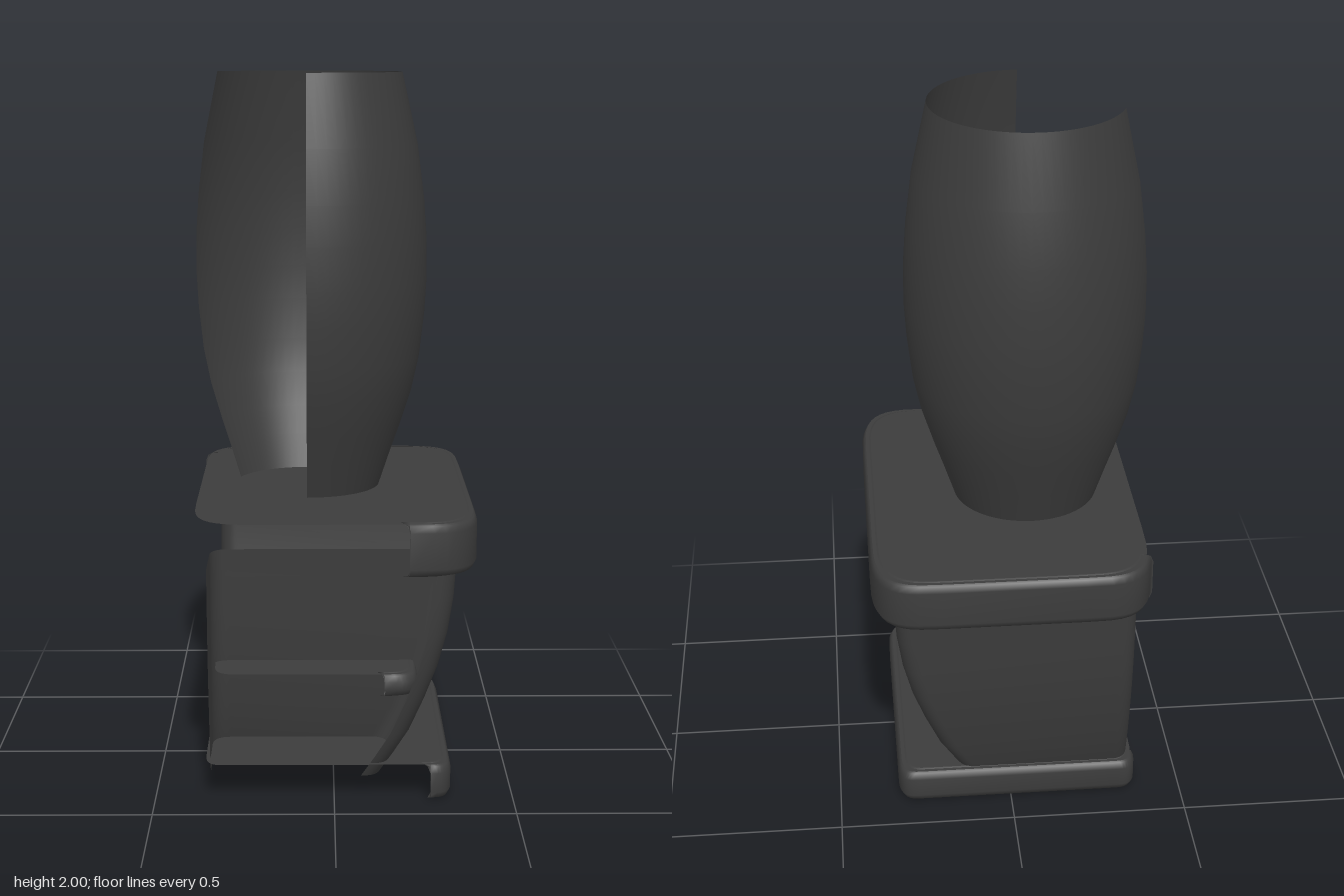
import * as THREE from 'three';

const material = new THREE.MeshStandardMaterial({ color: 0x3c3c3c, side: THREE.DoubleSide });

function add(group, name, geometry) {
  const mesh = new THREE.Mesh(geometry, material);
  mesh.name = name;
  group.add(mesh);
  return mesh;
}

// One soft corner of a plan outline, boxier than a true ellipse.
// Corners run front right, back right, back left, front left.
function corner(index, { x0, x1, z0, z1, rx, rz, n = 3.5 }, steps = 10) {
  const right = index < 2, front = index === 0 || index === 3;
  const points = [];
  for (let i = 0; i <= steps; i++) {
    const t = (index % 2 === 0 ? steps - i : i) / steps * Math.PI / 2;
    const u = Math.pow(Math.max(0, Math.cos(t)), 2 / n) * rx;
    const v = Math.pow(Math.max(0, Math.sin(t)), 2 / n) * rz;
    points.push([
      right ? x1 - rx + u : x0 + rx - u,
      front ? z1 - rz + v : z0 + rz - v,
    ]);
  }
  return points;
}

// Open outline: from the front face round the right and back to the left side.
function openOutline(box, startX, endZ) {
  const last = corner(2, box).map(([x, z]) => [x, Math.min(z, endZ)]);
  return [[startX, box.z1], ...corner(0, box), ...corner(1, box), ...last, [box.x0, endZ]];
}

// Smooth sheet joining equal-length outlines, each at its own height.
function loft(sections) {
  const count = sections[0].points.length, position = [], index = [];
  for (const { y, points } of sections) for (const [x, z] of points) position.push(x, y, z);
  for (let s = 0; s < sections.length - 1; s++) {
    for (let i = 0; i < count - 1; i++) {
      const a = s * count + i, b = a + count;
      index.push(a, a + 1, b, a + 1, b + 1, b);
    }
  }
  const geometry = new THREE.BufferGeometry();
  geometry.setAttribute('position', new THREE.Float32BufferAttribute(position, 3));
  geometry.setIndex(index);
  geometry.computeVertexNormals();
  return geometry;
}

const inset = (box, d) => ({
  ...box, x0: box.x0 + d, x1: box.x1 - d, z0: box.z0 + d, z1: box.z1 - d,
});

// Board made of a full top sheet and a partial rounded rim.
function board(name, box, bottom, top, startX, endZ) {
  const group = new THREE.Group();
  group.name = name;
  const b = Math.min(0.025, (top - bottom) / 3);
  const profile = [[b, top], [b * 0.3, top - b * 0.3], [0, top - b],
    [0, bottom + b], [b * 0.3, bottom + b * 0.3], [b, bottom]];
  add(group, name + 'Rim', loft(profile.map(([d, y]) => ({
    y, points: openOutline(inset(box, d), startX, endZ),
  }))));
  const edge = inset(box, b * 0.4);
  const shape = new THREE.Shape([0, 1, 2, 3].flatMap((i) => corner(i, edge))
    .map(([x, z]) => new THREE.Vector2(x, -z)));
  add(group, name + 'Top', new THREE.ShapeGeometry(shape).rotateX(-Math.PI / 2).translate(0, top - 0.002, 0));
  return group;
}

// Curved leg shell; rows give height, right edge, inner z and outer z.
const legRows = [
  [0.06, 0.13, 0.15, 0.365], [0.12, 0.165, 0.17, 0.39], [0.2, 0.21, 0.187, 0.415],
  [0.3, 0.25, 0.203, 0.44], [0.4, 0.285, 0.213, 0.46], [0.5, 0.31, 0.22, 0.473],
  [0.6, 0.325, 0.225, 0.48], [0.68, 0.33, 0.23, 0.484],
];
function leg(isFront) {
  return loft(legRows.slice().reverse().map(([y, x1, inner, outer]) => {
    const box = {
      x0: -0.347, x1, z0: isFront ? inner : -outer, z1: isFront ? outer : -inner,
      rx: 0.05, rz: 0.06, n: 2.3,
    };
    const endZ = isFront ? box.z1 - 0.03 : box.z0 + 0.06;
    return { y, points: openOutline(box, x1 - (isFront ? 0.055 : 0.08), endZ) };
  }));
}

export function createModel() {
  const model = new THREE.Group();
  model.name = 'vaseOnStand';

  // Boards of the stand
  model.add(board('base', { x0: -0.37, x1: 0.328, z0: -0.405, z1: 0.405, rx: 0.06, rz: 0.1 },
    0, 0.105, 0.27, -0.34));
  model.add(board('shelf', { x0: -0.345, x1: 0.235, z0: -0.35, z1: 0.35, rx: 0.09, rz: 0.1 },
    0.28, 0.35, 0.14, -0.28));
  model.add(board('tabletop', { x0: -0.392, x1: 0.392, z0: -0.537, z1: 0.537, rx: 0.19, rz: 0.26 },
    0.675, 0.825, 0.2, -0.42));

  // Wide curved legs
  add(model, 'frontLeg', leg(true));
  add(model, 'backLeg', leg(false));

  // Small posts under the shelf
  for (const z of [-0.09, 0.09]) {
    add(model, 'shelfPost', new THREE.CylinderGeometry(0.031, 0.031, 0.22, 24, 1, true))
      .position.set(0.1, 0.185, z);
  }

  // Open vase wall
  const profile = [[0.205, 0.815], [0.24, 0.92], [0.268, 1.0], [0.3, 1.1], [0.322, 1.2],
    [0.336, 1.32], [0.342, 1.42], [0.341, 1.54], [0.333, 1.65], [0.314, 1.8], [0.27, 2]];
  add(model, 'vase', new THREE.LatheGeometry(
    profile.map(([r, y]) => new THREE.Vector2(r, y)), 48, 0, THREE.MathUtils.degToRad(250),
  )).position.x = -0.075;

  return model;
}
